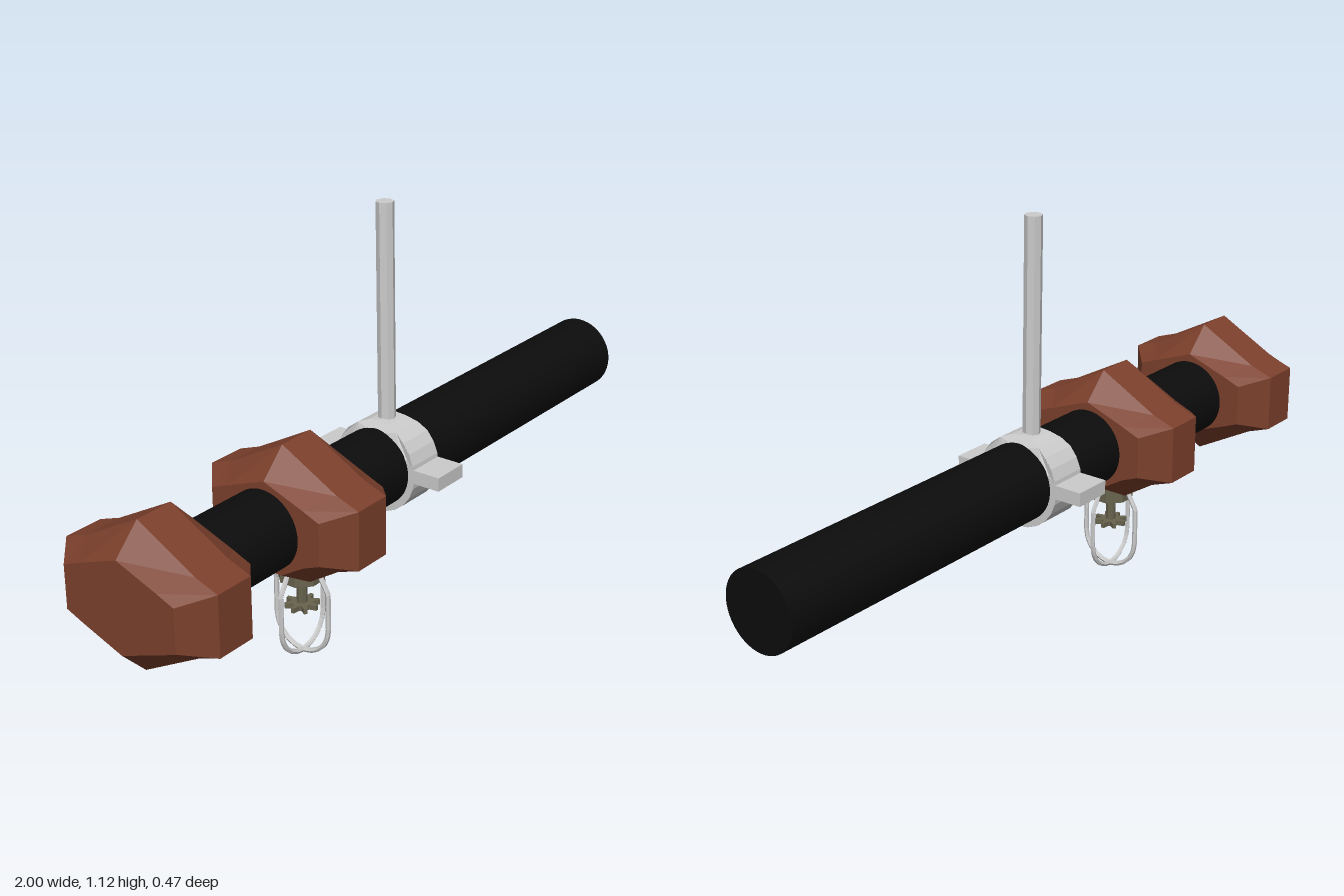
import * as THREE from 'three';

const mat = (color) => new THREE.MeshStandardMaterial({ color, flatShading: true });
const grey = mat(0xcccccc);
const brown = mat(0x7c402c);
const olive = mat(0x68634e);
const black = new THREE.MeshStandardMaterial({ color: 0x0c0c0c });

const AXIS_Y = 0.412;

function add(parent, name, geometry, material, x = 0, y = 0, z = 0) {
  const mesh = new THREE.Mesh(geometry, material);
  mesh.name = name;
  mesh.position.set(x, y, z);
  parent.add(mesh);
  return mesh;
}

// Closed solid through cross-sections of [z, y] points placed along x
function loft(rings) {
  const pos = [];
  const put = (...pts) => pts.forEach((p) => pos.push(...p));
  const at = rings.map(({ x, pts }) => pts.map(([z, y]) => [x, y, z]));
  const n = at[0].length, last = at.length - 1;
  for (let j = 0; j < n; j++) {
    const k = (j + 1) % n;
    for (let i = 0; i < last; i++) {
      const a = at[i][j], b = at[i][k], c = at[i + 1][k], d = at[i + 1][j];
      put(a, b, c, a, c, d);
    }
    put([rings[0].x, 0, 0], at[0][k], at[0][j]);
    put([rings[last].x, 0, 0], at[last][j], at[last][k]);
  }
  const geo = new THREE.BufferGeometry();
  geo.setAttribute('position', new THREE.Float32BufferAttribute(pos, 3));
  geo.computeVertexNormals();
  return geo;
}

// Faceted coupling: ridged top, blunt lugs front and back, optional flat underside
function couplingGeometry(flatBottom) {
  const section = (top, shoulder, lug, bottom) => {
    const right = [shoulder, lug, [lug[0], -lug[1]], [shoulder[0], -shoulder[1]]];
    const left = [...right].reverse().map(([z, y]) => [-z, y]);
    return [[0, top], ...right, ...bottom, ...left];
  };
  const wide = section(0.195, [0.17, 0.103], [0.235, 0.08],
    flatBottom ? [[0.08, -0.16], [-0.08, -0.16]] : [[0, -0.195]]);
  const end = section(0.122, [0.12, 0.078], [0.17, 0.058],
    flatBottom ? [[0.05, -0.12], [-0.05, -0.12]] : [[0, -0.122]]);
  return loft([
    { x: -0.128, pts: end }, { x: -0.055, pts: wide },
    { x: 0.055, pts: wide }, { x: 0.128, pts: end },
  ]);
}

// Wire guard and deflector below the second coupling
function sprinklerHead() {
  const head = new THREE.Group();
  head.name = 'sprinklerHead';
  add(head, 'collar', new THREE.CylinderGeometry(0.062, 0.062, 0.05, 8).rotateY(Math.PI / 8), olive, 0, 0.248);
  add(head, 'stem', new THREE.CylinderGeometry(0.014, 0.014, 0.09, 8), olive, 0, 0.183);

  const star = new THREE.Shape();
  for (let i = 0; i < 32; i++) {
    const r = i % 4 < 2 ? 0.046 : 0.028;
    const a = (i / 32) * Math.PI * 2;
    star[i ? 'lineTo' : 'moveTo'](r * Math.cos(a), r * Math.sin(a));
  }
  add(head, 'deflector', new THREE.ExtrudeGeometry(star, { depth: 0.014, bevelEnabled: false })
    .rotateX(-Math.PI / 2), olive, 0, 0.138);

  const path = new THREE.CurvePath();
  const points = [new THREE.Vector3(-0.05, 0.26, 0), new THREE.Vector3(-0.085, 0.2, 0)];
  for (let i = 0; i <= 10; i++) {
    const a = Math.PI * (1 + i / 10);
    points.push(new THREE.Vector3(0.085 * Math.cos(a), 0.095 + 0.085 * Math.sin(a), 0));
  }
  points.push(new THREE.Vector3(0.085, 0.2, 0), new THREE.Vector3(0.05, 0.26, 0));
  for (let i = 1; i < points.length; i++) path.add(new THREE.LineCurve3(points[i - 1], points[i]));
  for (const turn of [0, Math.PI / 2]) {
    add(head, 'guardWire', new THREE.TubeGeometry(path, 60, 0.007, 6), grey).rotation.y = turn;
  }
  return head;
}

// Split ring clamp with ears, nuts and a hanging rod
function hanger() {
  const group = new THREE.Group();
  group.name = 'hanger';
  const ring = new THREE.Shape().absarc(0, 0, 0.127, 0, Math.PI * 2);
  ring.holes.push(new THREE.Path().absarc(0, 0, 0.106, 0, Math.PI * 2, true));
  const geo = new THREE.ExtrudeGeometry(ring, { depth: 0.11, bevelEnabled: false, curveSegments: 12 })
    .translate(0, 0, -0.055).rotateY(Math.PI / 2);
  // Taper the crown toward the rod
  const p = geo.attributes.position;
  for (let i = 0; i < p.count; i++) {
    const t = Math.max(0, (p.getY(i) - 0.1) / 0.027);
    p.setX(i, p.getX(i) * (1 - 0.35 * t));
  }
  geo.computeVertexNormals();
  add(group, 'clampRing', geo, grey, 0, AXIS_Y);

  for (const s of [-1, 1]) {
    add(group, 'clampEar', new THREE.BoxGeometry(0.11, 0.038, 0.088), grey, 0, 0.415, s * 0.16);
    // Gusset where the ear meets the ring
    const gusset = new THREE.Shape([[0.1, -0.045], [0.122, -0.019], [0.122, 0.022], [0.1, 0.045]]
      .map(([z, y]) => new THREE.Vector2(z, y)));
    add(group, 'earGusset', new THREE.ExtrudeGeometry(gusset, { depth: 0.11, bevelEnabled: false })
      .translate(0, 0, -0.055).rotateY(s * Math.PI / 2), grey, 0, AXIS_Y);
    add(group, 'nut', new THREE.CylinderGeometry(0.019, 0.019, 0.016, 6), grey, 0, 0.39, s * 0.167);
  }
  const rod = add(group, 'hangerRod', new THREE.CylinderGeometry(0.024, 0.024, 0.6, 8), grey, 0, 0.825, -0.006);
  rod.rotation.x = -0.012;
  return group;
}

export function createModel() {
  const model = new THREE.Group();
  model.name = 'sprinklerPipe';

  add(model, 'pipe', new THREE.CylinderGeometry(0.107, 0.107, 1.9, 48).rotateZ(Math.PI / 2), black, 0.05, AXIS_Y, -0.003);
  add(model, 'endCoupling', couplingGeometry(false), brown, -0.872, 0.42);
  add(model, 'teeCoupling', couplingGeometry(true), brown, -0.367, 0.42);

  const head = sprinklerHead();
  head.position.set(-0.36, 0, 0.002);
  model.add(head);

  const clamp = hanger();
  clamp.position.set(0.015, 0, -0.003);
  model.add(clamp);
  return model;
}
